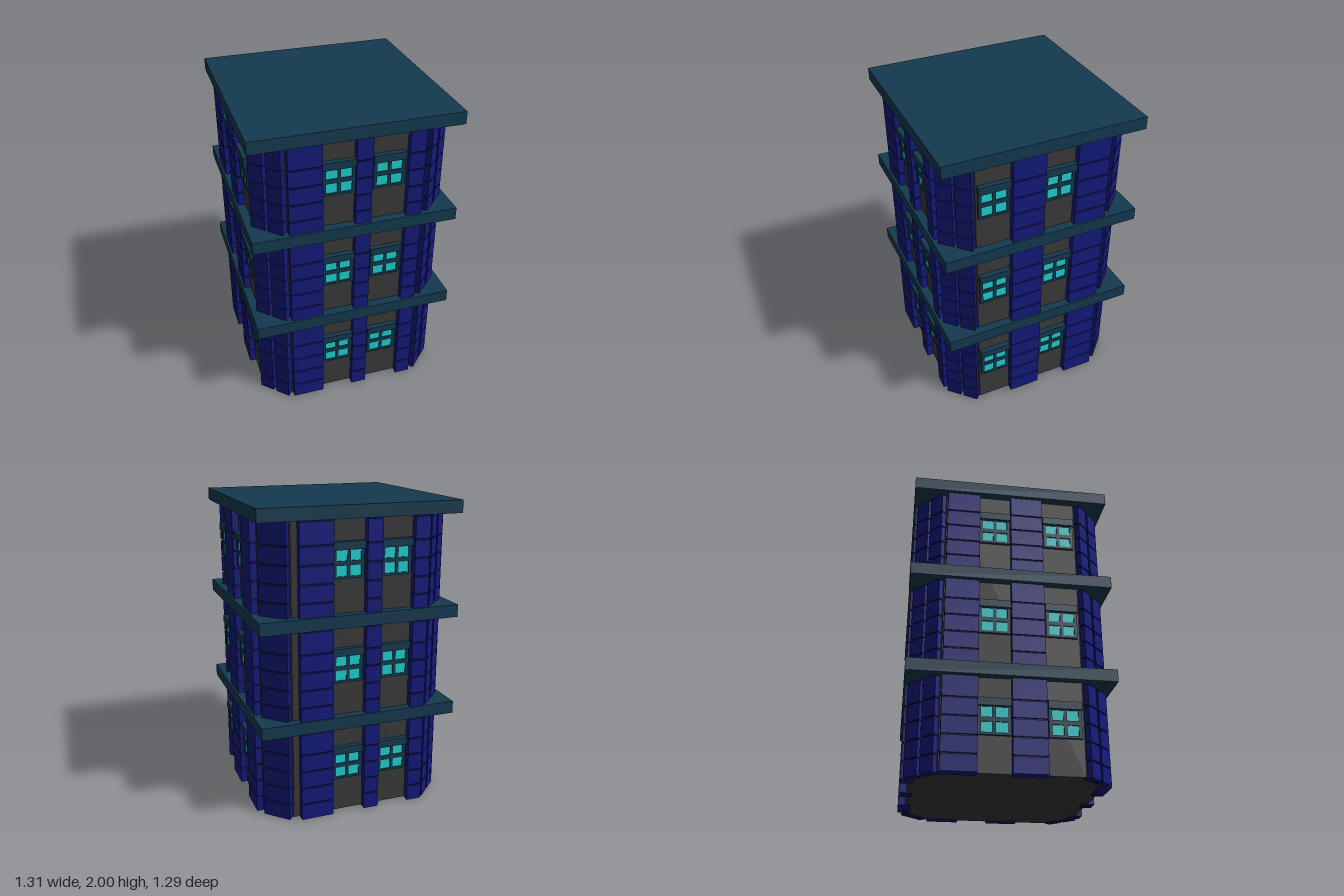
import * as THREE from 'three';

const mat = (color) => new THREE.MeshStandardMaterial({ color });
const brickMat = mat(0x141a7a), jointMat = mat(0x0c1050), wallMat = mat(0x3a3a3a);
const trimMat = mat(0x14394f), glassMat = mat(0x1fd1d1);

const FLOOR = 0.661;                                        // storey height
const COURSES = [0, 0.11, 0.223, 0.338, 0.453, 0.598];      // brick joints in one storey

function box(parent, name, material, w, h, d, x, y, z) {
  const mesh = new THREE.Mesh(new THREE.BoxGeometry(w, h, d), material);
  mesh.name = name;
  mesh.position.set(x, y, z);
  parent.add(mesh);
  return mesh;
}

// Stack of brick blocks with narrow recessed joints, from u0 to u1 along a wall
function pilaster(parent, u0, u1, outer, depth) {
  const g = new THREE.Group();
  g.name = 'brickPilaster';
  const u = (u0 + u1) / 2, w = u1 - u0;
  box(g, 'mortarCore', jointMat, w - 0.016, 0.594, depth - 0.01, u, 0.297, outer - depth / 2 - 0.005);
  for (let i = 0; i < 5; i++) {
    const a = COURSES[i], b = COURSES[i + 1] - 0.009;
    box(g, 'brick', brickMat, w, b - a, depth, u, (a + b) / 2, outer - depth / 2);
  }
  parent.add(g);
}

// Four-pane window with a projecting header
function rect(path, x, y, w, h) {
  path.moveTo(x, y);
  path.lineTo(x + w, y);
  path.lineTo(x + w, y + h);
  path.lineTo(x, y + h);
  path.closePath();
  return path;
}
const frameShape = rect(new THREE.Shape(), -0.1, -0.095, 0.2, 0.19);
for (const x of [-0.08, 0.01]) for (const y of [-0.08, 0.014])
  frameShape.holes.push(rect(new THREE.Path(), x, y, 0.07, 0.066));
const frameGeo = new THREE.ExtrudeGeometry(frameShape, { depth: 0.03, bevelEnabled: false });

function windowUnit(parent, u, wall) {
  const g = new THREE.Group();
  g.name = 'window';
  const frame = new THREE.Mesh(frameGeo, trimMat);
  frame.name = 'windowFrame';
  frame.position.z = -0.012;
  g.add(frame);
  box(g, 'glass', glassMat, 0.18, 0.17, 0.02, 0, 0, 0.001);
  box(g, 'windowHeader', trimMat, 0.205, 0.05, 0.05, 0, 0.107, 0.008);
  g.position.set(u, 0.328, wall);
  parent.add(g);
}

// Each wall: turn about y, wall distance, brick face distance, pilaster spans, window centres
const WALLS = [
  { name: 'frontWall', turn: 0, wall: 0.59, outer: 0.632,
    bricks: [[-0.425, -0.215], [-0.01, 0.09], [0.32, 0.42]], windows: [-0.11, 0.205] },
  { name: 'rightWall', turn: Math.PI / 2, wall: 0.6, outer: 0.642,
    bricks: [[-0.21, 0], [0.21, 0.425]], windows: [-0.32, 0.105] },
  { name: 'backWall', turn: Math.PI, wall: 0.59, outer: 0.636,
    bricks: [[-0.4, -0.185], [0.03, 0.13], [0.345, 0.445]], windows: [-0.08, 0.235] },
  { name: 'leftWall', turn: -Math.PI / 2, wall: 0.6, outer: 0.642,
    bricks: [[-0.425, -0.21], [-0.005, 0.205]], windows: [0.315, -0.11] },
];

// Slanted corners: turn about y and brick spans
const PAIR = [[-0.112, -0.01], [0.01, 0.112]];
const CORNERS = [
  { turn: Math.PI / 4, bricks: PAIR },
  { turn: 3 * Math.PI / 4, bricks: [[-0.095, 0.095]] },
  { turn: -3 * Math.PI / 4, bricks: PAIR },
  { turn: -Math.PI / 4, bricks: PAIR },
];

export function createModel() {
  const model = new THREE.Group();
  model.name = 'tower';

  // Plain core with cut corners
  const plan = new THREE.Shape([
    [0.6, -0.43], [0.6, 0.43], [0.44, 0.59], [-0.44, 0.59],
    [-0.6, 0.43], [-0.6, -0.43], [-0.44, -0.59], [0.44, -0.59],
  ].map(([x, y]) => new THREE.Vector2(x, y)));
  const coreGeo = new THREE.ExtrudeGeometry(plan, { depth: 1.93, bevelEnabled: false });
  coreGeo.rotateX(-Math.PI / 2);
  const core = new THREE.Mesh(coreGeo, wallMat);
  core.name = 'towerCore';
  core.position.y = 0.005;
  model.add(core);

  for (let f = 0; f < 3; f++) {
    const storey = new THREE.Group();
    storey.name = 'storey' + (f + 1);
    storey.position.y = f * FLOOR;
    model.add(storey);

    for (const { name, turn, wall, outer, bricks, windows } of WALLS) {
      const side = new THREE.Group();
      side.name = name;
      side.rotation.y = turn;
      bricks.forEach(([a, b]) => pilaster(side, a, b, outer, 0.08));
      windows.forEach((u) => windowUnit(side, u, wall));
      storey.add(side);
    }
    for (const { turn, bricks } of CORNERS) {
      const corner = new THREE.Group();
      corner.name = 'cornerBricks';
      corner.rotation.y = turn;
      bricks.forEach(([a, b]) => pilaster(corner, a, b, 0.765, 0.06));
      storey.add(corner);
    }

    // Overhanging slab on top of the storey
    box(storey, f < 2 ? 'floorSlab' : 'roofSlab', trimMat, 1.31, 0.081, 1.294, 0, 0.6375, 0);
  }
  return model;
}
